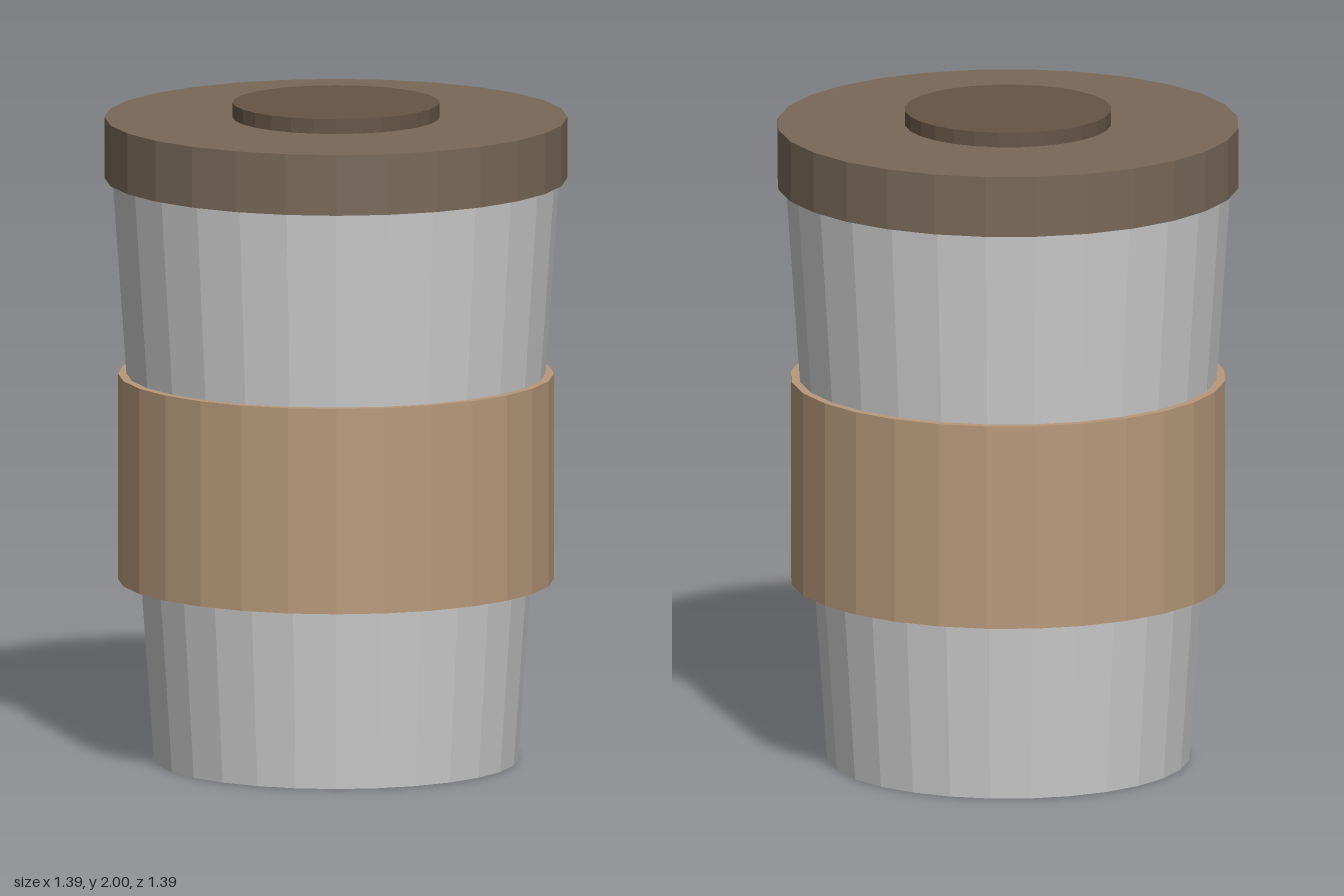
import * as THREE from 'three';

const SIDES = 28;

export function createModel() {
  const cup = new THREE.Group();
  cup.name = 'travelCup';

  // Faceted, capped round section standing between two heights
  function section(name, color, bottomRadius, topRadius, y0, y1) {
    const mesh = new THREE.Mesh(
      new THREE.CylinderGeometry(topRadius, bottomRadius, y1 - y0, SIDES),
      new THREE.MeshStandardMaterial({ color, flatShading: true })
    );
    mesh.name = name;
    mesh.position.y = (y0 + y1) / 2;
    cup.add(mesh);
  }

  // Tapered body, its rim tucked just inside the lid
  section('body', 0xcccccc, 0.547, 0.672, 0, 1.78);
  // Straight grip sleeve around the middle
  section('sleeve', 0xb8997a, 0.655, 0.655, 0.55, 1.175);
  // Overhanging lid with a low raised disc on top
  section('lid', 0x786858, 0.695, 0.695, 1.77, 1.955);
  section('lidDisc', 0x655445, 0.311, 0.311, 1.94, 2);

  return cup;
}
